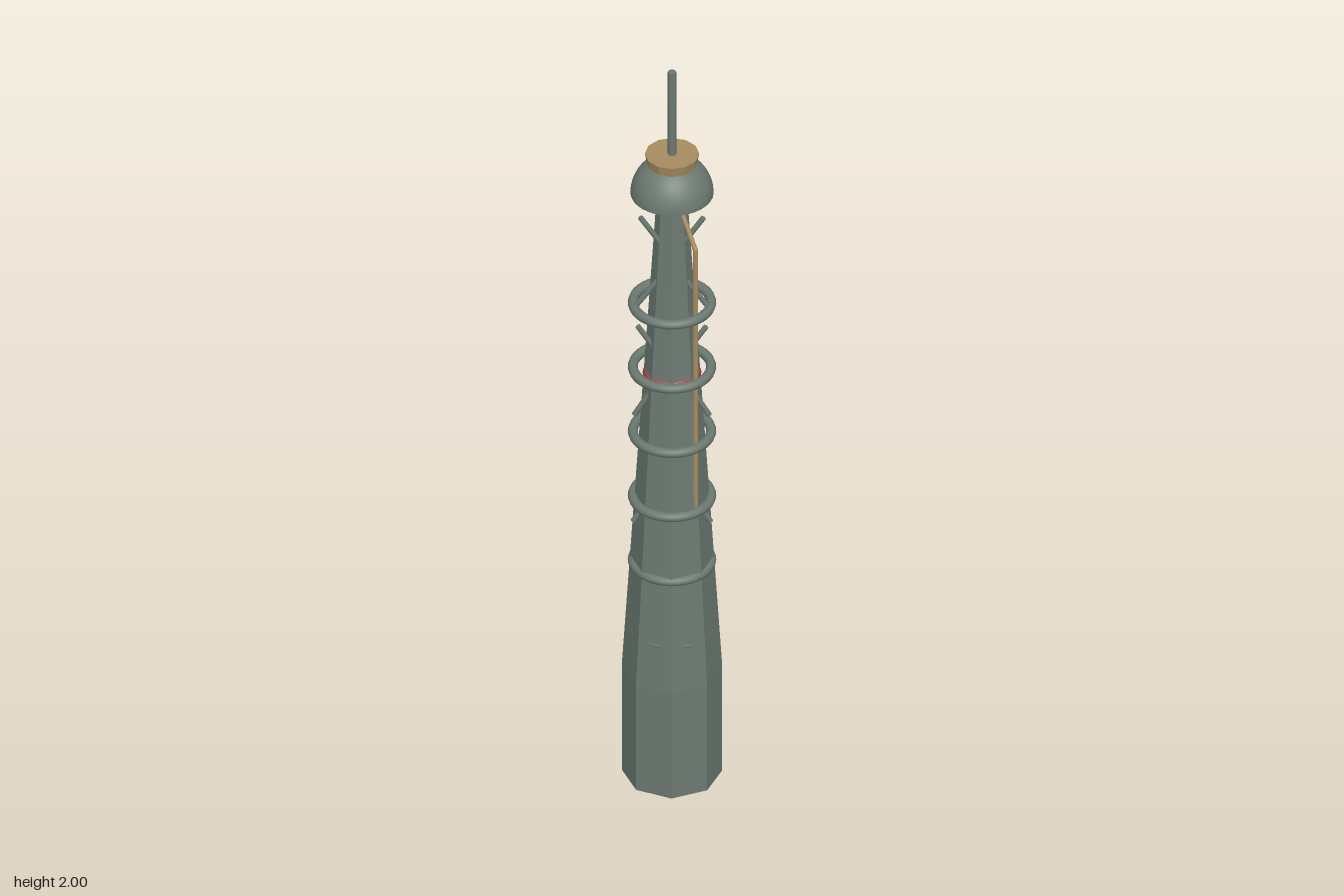
import * as THREE from 'three';

const mat = (name, color, flatShading = false) => {
  const m = new THREE.MeshStandardMaterial({ color, flatShading });
  m.name = name;
  return m;
};

export function createModel() {
  const root = new THREE.Group();
  root.name = 'tower';
  const facetedGreen = mat('facetedGreyGreen', 0x6c7a72, true);
  const green = mat('greyGreen', 0x6c7a72);
  const tan = mat('tan', 0xa88c62, true);
  const red = mat('red', 0x9a4f45);

  const add = (name, geo, material, x = 0, y = 0, z = 0) => {
    const mesh = new THREE.Mesh(geo, material);
    mesh.name = name;
    mesh.position.set(x, y, z);
    root.add(mesh);
    return mesh;
  };

  // Eight-sided shaft: straight base and tapered upper part
  add('base', new THREE.CylinderGeometry(0.118, 0.118, 0.3, 8, 1), facetedGreen, 0, 0.15);
  add('shaft', new THREE.CylinderGeometry(0.035, 0.118, 1.36, 8, 1, true), facetedGreen, 0, 0.98);

  // Evenly spaced hoops
  const hoop = (name, y, radius, tube, material) => {
    const geo = new THREE.TorusGeometry(radius, tube, 10, 40).rotateX(Math.PI / 2);
    add(name, geo, material, 0, y);
  };
  for (let i = 0; i < 6; i++) hoop('hoop', 0.42 + i * 0.184, 0.092, 0.012, green);
  hoop('redBand', 1.14, 0.05, 0.019, red);

  // Dome with a closed underside
  add('dome', new THREE.SphereGeometry(0.098, 32, 10, 0, Math.PI * 2, 0, Math.PI / 2), green, 0, 1.655);
  add('domeUnderside', new THREE.CircleGeometry(0.098, 32).rotateX(Math.PI / 2), green, 0, 1.655);

  // Cap disc and mast
  add('cap', new THREE.CylinderGeometry(0.064, 0.059, 0.026, 12), tan, 0, 1.753);
  add('mast', new THREE.CylinderGeometry(0.01, 0.01, 0.25, 12), green, 0, 1.875);

  // Straight rod between two points
  const rod = (name, a, b, radius, material) => {
    const from = new THREE.Vector3(...a), to = new THREE.Vector3(...b);
    const dir = to.clone().sub(from);
    const mid = from.add(to).multiplyScalar(0.5);
    const mesh = add(name, new THREE.CylinderGeometry(radius, radius, dir.length(), 8), material, mid.x, mid.y, mid.z);
    mesh.quaternion.setFromUnitVectors(new THREE.Vector3(0, 1, 0), dir.normalize());
  };

  // Mirrored struts: inner x, inner y, tip x, tip y
  const struts = [
    [0.025, 1.525, 0.074, 1.6],
    [0.03, 1.425, 0.093, 1.335],
    [0.04, 1.225, 0.08, 1.288],
    [0.045, 1.11, 0.088, 1.035],
    [0.045, 0.91, 0.083, 0.97],
    [0.05, 0.8, 0.091, 0.73],
  ];
  for (const [x0, y0, x1, y1] of struts)
    for (const s of [-1, 1]) rod('strut', [s * x0, y0, 0.025], [s * x1, y1, 0.025], 0.007, green);

  // Cable pipe down the front corner
  rod('cableBend', [0.022, 1.62, 0.025], [0.056, 1.53, 0.06], 0.006, tan);
  rod('cablePipe', [0.056, 1.533, 0.06], [0.056, 0.78, 0.06], 0.006, tan);

  return root;
}
